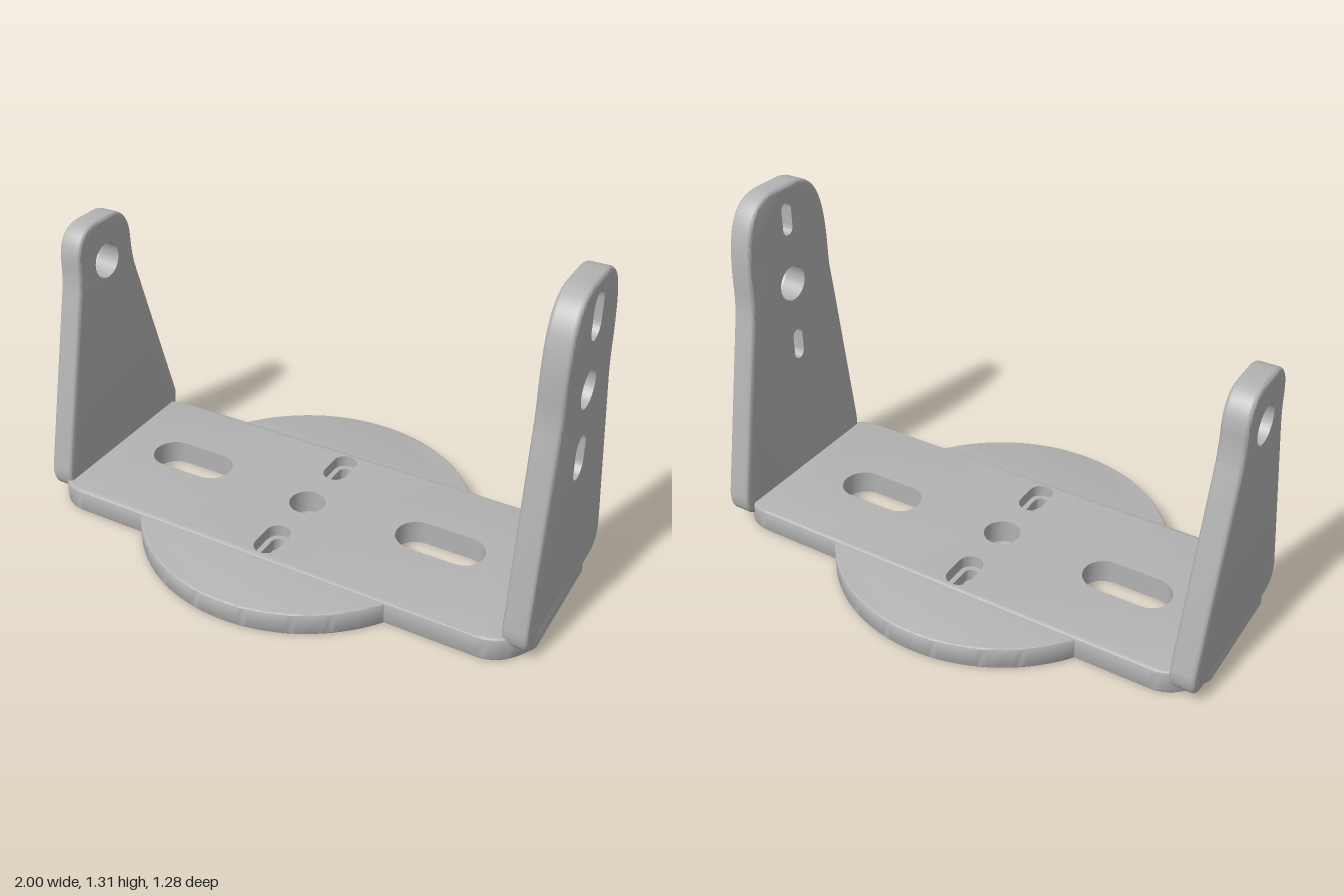
import * as THREE from 'three';
import { mergeVertices, toCreasedNormals } from 'three/addons/utils/BufferGeometryUtils.js';

const V = (x, y) => new THREE.Vector2(x, y);

// Moves a counter-clockwise loop inwards by d
function inset(pts, d) {
  const n = pts.length;
  return pts.map((p, i) => {
    const a = p.clone().sub(pts[(i + n - 1) % n]).normalize();
    const b = pts[(i + 1) % n].clone().sub(p).normalize();
    const m = V(-a.y - b.y, a.x + b.x).normalize();
    const k = Math.max(0.5, m.x * -a.y + m.y * a.x);
    return p.clone().addScaledVector(m, d / k);
  });
}

// Counter-clockwise slot loop; len is the full length along y, a circle if len = 2r
function slot(cx, cy, r, len, alongX = false) {
  const pts = [], half = len / 2 - r, n = 16;
  for (let e = 0; e < 2; e++) {
    for (let i = 0; i <= n; i++) {
      if (half < 1e-6 && i === n) continue;
      const a = Math.PI * (e + i / n), s = e ? -half : half;
      const x = Math.cos(a) * r, y = Math.sin(a) * r + s;
      pts.push(alongX ? V(cx + y, cy - x) : V(cx + x, cy + y));
    }
  }
  return pts;
}
const plain = (loop) => ({ wide: loop, narrow: loop });
const stepped = (x, y, len) => ({ wide: slot(x, y, 0.048, len), narrow: slot(x, y, 0.027, len - 0.042) });

// Plate with rounded rim and sharp holes; stepped holes are wide on the +z face
function slab(outline, holes, t, bevel) {
  const pos = [];
  const put = (p, z) => pos.push(p.x, p.y, z);
  const wall = (lo, z0, hi, z1) => lo.forEach((p, i) => {
    const j = (i + 1) % lo.length;
    put(p, z0); put(lo[j], z0); put(hi[j], z1);
    put(p, z0); put(hi[j], z1); put(hi[i], z1);
  });
  const cap = (loop, inner, z, flip) => {
    const cut = inner.map((h) => h.slice().reverse());
    const all = loop.concat(...cut);
    for (const [a, b, c] of THREE.ShapeUtils.triangulateShape(loop, cut)) {
      for (const k of flip ? [a, c, b] : [a, b, c]) put(all[k], z);
    }
  };
  // rim
  const rings = [], steps = 4;
  for (let k = 0; k <= steps; k++) {
    const a = (k / steps) * Math.PI / 2;
    rings.push([inset(outline, bevel * (1 - Math.sin(a))), bevel * (1 - Math.cos(a))]);
  }
  for (let k = steps; k >= 0; k--) rings.push([rings[k][0], t - rings[k][1]]);
  for (let k = 0; k + 1 < rings.length; k++) wall(...rings[k], ...rings[k + 1]);
  // faces
  cap(rings[0][0], holes.map((h) => h.narrow), 0, true);
  cap(rings[0][0], holes.map((h) => h.wide), t, false);
  // hole walls and ledges
  for (const { wide, narrow } of holes) {
    const w = wide.slice().reverse(), n = narrow.slice().reverse();
    if (wide === narrow) { wall(w, 0, w, t); continue; }
    wall(n, 0, n, t / 2);
    wall(w, t / 2, w, t);
    cap(wide, [narrow], t / 2, false);
  }
  const g = new THREE.BufferGeometry();
  g.setAttribute('position', new THREE.Float32BufferAttribute(pos, 3));
  return toCreasedNormals(mergeVertices(g, 1e-5), 0.6);
}

// Outline of an upright: flared foot, waist and rounded head
function armOutline(waist, head) {
  const half = (foot) => {
    const p = new THREE.Path();
    p.moveTo(0, 0.035);
    p.lineTo(foot - 0.09, 0.035);
    p.bezierCurveTo(foot - 0.02, 0.035, foot + 0.003, 0.07, foot - 0.003, 0.14);
    p.lineTo(waist + 0.012, 0.84);
    p.quadraticCurveTo(waist, 0.9, waist, 0.96);
    head(p);
    return p.getPoints(10);
  };
  const left = half(0.34).map((p) => V(-p.x, p.y)).reverse();
  return half(0.388).concat(left.slice(1, -1));
}

export function createModel() {
  const model = new THREE.Group();
  model.name = 'mountingBracket';
  const steel = new THREE.MeshStandardMaterial({ color: 0xb3b3b3 });
  steel.name = 'grey metal';
  const add = (name, geometry, x = 0) => {
    const mesh = new THREE.Mesh(geometry, steel);
    mesh.name = name;
    mesh.position.x = x;
    model.add(mesh);
  };
  const T = 0.095, CX = -0.03, W = 0.372;

  // Base plate with rounded corners, long slots, centre hole and stepped slots
  const plate = new THREE.Shape();
  plate.moveTo(-0.83, -W);
  plate.lineTo(0.83, -W);
  plate.bezierCurveTo(0.92, -W, 0.96, -0.31, 1, -0.23);
  plate.lineTo(1, 0.23);
  plate.bezierCurveTo(0.96, 0.31, 0.92, W, 0.83, W);
  plate.lineTo(-0.83, W);
  plate.bezierCurveTo(-0.92, W, -0.96, 0.31, -1, 0.23);
  plate.lineTo(-1, -0.23);
  plate.bezierCurveTo(-0.96, -0.31, -0.92, -W, -0.83, -W);
  const baseHoles = [
    plain(slot(CX, 0, 0.07, 0.14)),
    plain(slot(-0.575, 0.022, 0.084, 0.35, true)),
    plain(slot(0.52, 0.022, 0.084, 0.35, true)),
    stepped(CX, 0.265, 0.175),
    stepped(CX, -0.262, 0.175),
  ];
  add('basePlate', slab(plate.getPoints(10).slice(0, -1), baseHoles, T, 0.01).rotateX(-Math.PI / 2));

  // Disc segments on both long sides of the plate
  const R = 0.638, a0 = Math.asin(0.355 / R);
  for (const [name, turn] of [['backDiscSegment', 0], ['frontDiscSegment', Math.PI]]) {
    const arc = [];
    for (let i = 0; i <= 64; i++) {
      const a = a0 + (Math.PI - 2 * a0) * (i / 64) + turn;
      arc.push(V(CX + Math.cos(a) * R, Math.sin(a) * R));
    }
    add(name, slab(arc, [], 0.088, 0.007).rotateX(-Math.PI / 2));
  }

  // Tall upright with a round hole and two stepped slots
  const tall = armOutline(0.23, (p) => {
    p.bezierCurveTo(0.23, 1.08, 0.22, 1.15, 0.2, 1.205);
    p.bezierCurveTo(0.172, 1.28, 0.115, 1.31, 0.05, 1.31);
    p.lineTo(0, 1.31);
  });
  const pivot = () => plain(slot(0, 0.917, 0.07, 0.14));
  const tallHoles = [pivot(), stepped(0, 1.18, 0.17), stepped(0, 0.653, 0.17)];
  add('tallUpright', slab(tall, tallHoles, T, 0.015).rotateY(Math.PI / 2), 1 - T);

  // Short upright with a round hole
  const short = armOutline(0.16, (p) => {
    p.bezierCurveTo(0.157, 1.045, 0.115, 1.09, 0.04, 1.09);
    p.lineTo(0, 1.09);
  });
  add('shortUpright', slab(short, [pivot()], T, 0.015).rotateY(Math.PI / 2), -1);

  return model;
}
